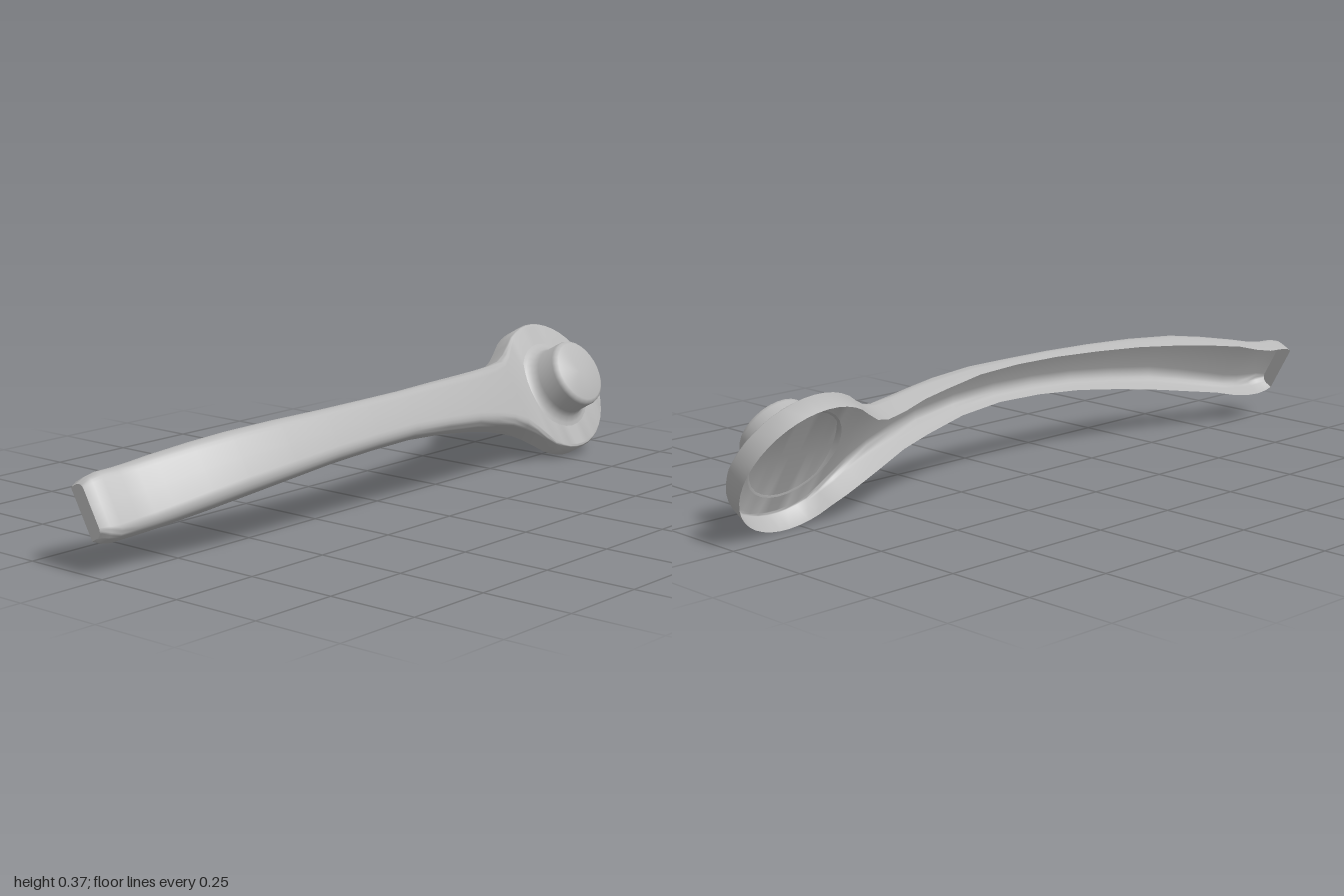
import * as THREE from 'three';
import { toCreasedNormals } from 'three/addons/utils/BufferGeometryUtils.js';

const metal = new THREE.MeshStandardMaterial({ color: 0xb8b8b8, side: THREE.DoubleSide });
metal.name = 'grey metal';

// Local frame: x = out of the front face, y = across the lever, z = along it.
// Each station: z, back edge, front face, half width, corner radius
const stations = [
  [1.0, -0.028, -0.028, 0.07, 0],
  [1.0, -0.028, 0.012, 0.07, 0.02],
  [0.98, -0.028, 0.028, 0.08, 0.024],
  [0.95, -0.028, 0.034, 0.085, 0.026],
  [0.9, -0.025, 0.038, 0.085, 0.028],
  [0.85, -0.01, 0.05, 0.086, 0.03],
  [0.8, 0.014, 0.07, 0.087, 0.032],
  [0.7, 0.043, 0.107, 0.086, 0.034],
  [0.6, 0.07, 0.138, 0.083, 0.034],
  [0.45, 0.102, 0.162, 0.077, 0.032],
  [0.3, 0.125, 0.178, 0.07, 0.03],
  [0.15, 0.138, 0.186, 0.067, 0.03],
  [0.0, 0.14, 0.187, 0.066, 0.03],
  [-0.15, 0.127, 0.182, 0.071, 0.03],
  [-0.3, 0.095, 0.163, 0.078, 0.032],
  [-0.4, 0.07, 0.141, 0.085, 0.032],
  [-0.5, 0.035, 0.115, 0.094, 0.03],
  [-0.58, 0.01, 0.09, 0.106, 0.026],
  [-0.63, 0, 0.074, 0.124, 0.02],
  [-0.67, 0, 0.066, 0.15, 0.014],
];
// Round plate at the pivot end continues the same shell
for (let k = 0; k <= 14; k++) {
  const a = Math.PI * (1 / 3 + (2 / 3) * (k / 14));
  stations.push([-0.8 + 0.2 * Math.cos(a), 0, 0.062, 0.198 * Math.sin(a), 0.01]);
}

// Open-backed cross-section: side wall, rounded corner, front face, mirrored
function section([z, back, front, w, corner]) {
  const c = Math.min(corner, w * 0.9);
  const half = [[w, back]];
  for (let k = 0; k <= 5; k++) {
    const a = (k / 5) * Math.PI / 2;
    half.push([w - c * (1 - Math.cos(a)), front - c * (1 - Math.sin(a))]);
  }
  const offset = -0.01 * Math.max(0, z);
  return [
    ...half.map(([t, s]) => [s, offset - t, z]),
    [front, offset, z],
    ...half.slice().reverse().map(([t, s]) => [s, offset + t, z]),
  ];
}

function loft(rings) {
  const n = rings[0].length;
  const index = [];
  for (let i = 0; i < rings.length - 1; i++) {
    for (let j = 0; j < n - 1; j++) {
      const a = i * n + j, b = a + n;
      index.push(a, b, a + 1, b, b + 1, a + 1);
    }
  }
  const geometry = new THREE.BufferGeometry();
  geometry.setAttribute('position', new THREE.Float32BufferAttribute(rings.flat(2), 3));
  geometry.setIndex(index);
  return toCreasedNormals(geometry, 0.8);
}

export function createModel() {
  const model = new THREE.Group();
  model.name = 'lever';

  const tilted = new THREE.Group();
  tilted.name = 'tiltedLever';
  tilted.rotation.z = Math.PI / 6;
  tilted.position.set(-0.0465, 0.1735, 0);
  model.add(tilted);

  // Hollow curved handle with the round plate
  const shell = new THREE.Mesh(loft(stations.map(section)), metal);
  shell.name = 'handleShell';
  tilted.add(shell);

  // Pivot boss with a fillet at its foot and a softened rim
  const profile = [
    [0.138, 0.06], [0.122, 0.065], [0.108, 0.075], [0.1, 0.092],
    [0.1, 0.148], [0.097, 0.157], [0.088, 0.163], [0, 0.163],
  ].map(([r, h]) => new THREE.Vector2(r, h));
  const boss = new THREE.Mesh(toCreasedNormals(new THREE.LatheGeometry(profile, 28), 0.8), metal);
  boss.name = 'pivotBoss';
  boss.rotation.z = -Math.PI / 2;
  boss.position.z = -0.8;
  tilted.add(boss);

  return model;
}
